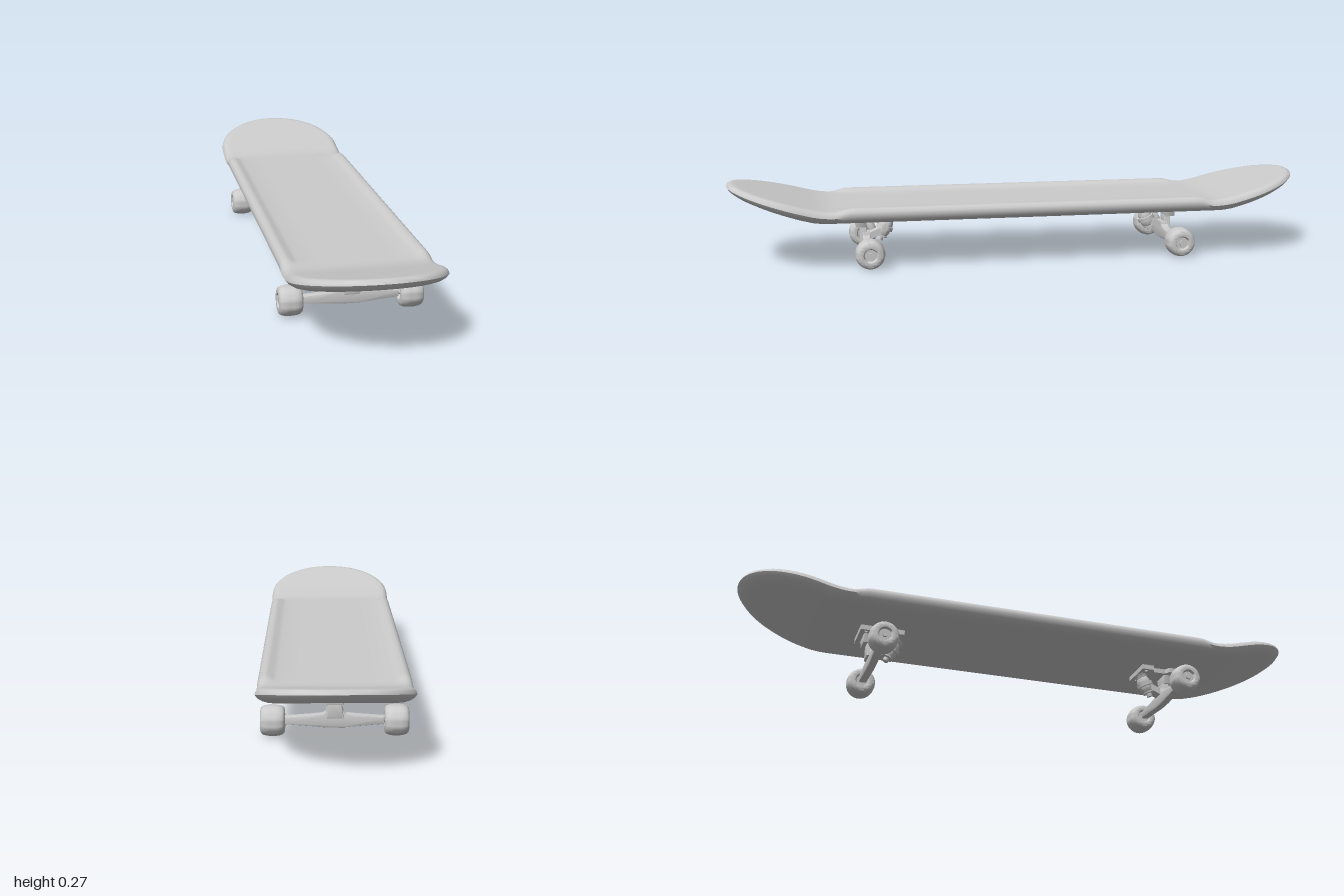
import * as THREE from 'three';
import { toCreasedNormals } from 'three/addons/utils/BufferGeometryUtils.js';

const material = new THREE.MeshStandardMaterial({ color: 0xcccccc, side: THREE.DoubleSide });

function part(name, geometry, parent, x = 0, y = 0, z = 0) {
  const mesh = new THREE.Mesh(geometry, material);
  mesh.name = name;
  mesh.position.set(x, y, z);
  parent.add(mesh);
  return mesh;
}

// Flat, then a straight slope, with a soft bend of half-length b between them
function bend(z, start, slope, b) {
  const d = z - start;
  if (d < -b) return 0;
  return slope * (d > b ? d : (d + b) ** 2 / (4 * b));
}

const topHeight = z => 0.197 + bend(z, 0.68, 0.255, 0.04);
const bottomHeight = z => 0.155 + bend(z, 0.71, 0.3, 0.04);
const rimHeight = z => 0.013 * (1 - THREE.MathUtils.smoothstep(z, 0.59, 0.65));

// Deck: sections lofted along z, each layer of the edge inset from a rounded outline
function deckGeometry() {
  // Right half of a section: fraction of width, inset, height fraction, share of raised rim
  const half = [
    [0, 0.055, 0, 0], [0.5, 0.055, 0, 0], [1, 0.055, 0, 0], [1, 0.038, 0.04, 0],
    [1, 0.022, 0.14, 0], [1, 0.008, 0.32, 0.5], [1, 0, 0.56, 1], [1, 0.003, 0.78, 1],
    [1, 0.011, 0.94, 1], [1, 0.022, 1, 1], [1, 0.034, 1, 0.8], [1, 0.046, 1, 0.25],
    [1, 0.06, 1, 0], [0.6, 0.06, 1, 0], [0.3, 0.06, 1, 0], [0, 0.06, 1, 0],
  ];
  const left = half.slice(1, -1).reverse().map(([f, ...rest]) => [-f, ...rest]);
  const section = [...half, ...left];

  // Stations: straight sides, then an angle round the elliptical end
  const ends = [0.3, 0.55, 0.58, 0.6, 0.62, 0.64, 0.66, 0.69, 0.72, 0.76].map(z => ({ z, angle: 0 }));
  for (let i = 1; i <= 16; i++) ends.push({ z: 0.76, angle: (i / 16) * Math.PI / 2 });
  const stations = [
    ...ends.map(s => ({ ...s, side: -1 })).reverse(),
    { z: 0, angle: 0, side: 1 },
    ...ends.map(s => ({ ...s, side: 1 })),
  ];

  const points = [], index = [], n = section.length;
  stations.forEach(({ z, angle, side }, i) => {
    section.forEach(([f, inset, v, rim], j) => {
      const az = z + (0.24 - inset) * Math.sin(angle);
      const x = f * (0.236 - inset) * Math.cos(angle);
      const low = bottomHeight(az), high = topHeight(az) + rim * rimHeight(az);
      points.push(x, low + v * (high - low), side * az);
      if (i === stations.length - 1) return;
      const a = i * n + j, b = i * n + (j + 1) % n;
      index.push(a, b, b + n, a, b + n, a + n);
    });
  });
  const g = new THREE.BufferGeometry();
  g.setAttribute('position', new THREE.Float32BufferAttribute(points, 3));
  g.setIndex(index);
  return toCreasedNormals(g, 0.9);
}

function lathe(profile, segments = 32) {
  const g = new THREE.LatheGeometry(profile.map(p => new THREE.Vector2(...p)), segments);
  return toCreasedNormals(g, 0.6);
}

// Mirrored outline in x and y, extruded and centred along z
function mirroredExtrude(right, depth, bevel) {
  const outline = [...right, ...right.map(([x, y]) => [-x, y]).reverse()];
  const shape = new THREE.Shape(outline.map(p => new THREE.Vector2(...p)));
  const g = new THREE.ExtrudeGeometry(shape, {
    depth: depth - 2 * bevel, bevelEnabled: bevel > 0, bevelSize: bevel,
    bevelThickness: bevel, bevelOffset: -bevel, bevelSegments: 2,
  });
  g.translate(0, 0, -depth / 2 + bevel);
  return toCreasedNormals(g, 0.5);
}

// Base plate with four bolt holes and open slots at both sides
function plateGeometry() {
  const s = new THREE.Shape([
    [-0.06, -0.075], [0.06, -0.075], [0.06, -0.03], [0.042, -0.022], [0.042, 0.022], [0.06, 0.03],
    [0.06, 0.075], [-0.06, 0.075], [-0.06, 0.03], [-0.042, 0.022], [-0.042, -0.022], [-0.06, -0.03],
  ].map(p => new THREE.Vector2(...p)));
  for (const x of [-1, 1]) for (const y of [-1, 1]) {
    s.holes.push(new THREE.Path().absarc(x * 0.045, y * 0.055, 0.006, 0, Math.PI * 2, true));
  }
  return new THREE.ExtrudeGeometry(s, { depth: 0.018, bevelEnabled: false, curveSegments: 8 })
    .rotateX(Math.PI / 2);
}

function createWheel() {
  const wheel = new THREE.Group();
  wheel.name = 'wheel';
  const profile = [
    [0.007, -0.028], [0.02, -0.028], [0.024, -0.037], [0.032, -0.0385], [0.04, -0.036], [0.045, -0.03],
    [0.048, -0.02], [0.0495, -0.008], [0.0495, 0.008], [0.048, 0.02], [0.045, 0.03], [0.04, 0.036],
    [0.032, 0.0385], [0.024, 0.037], [0.02, 0.028], [0.007, 0.028],
  ];
  part('tyre', lathe(profile, 40), wheel).rotation.z = -Math.PI / 2;
  part('axleNut', new THREE.CylinderGeometry(0.011, 0.011, 0.008, 6), wheel, 0.031).rotation.z = Math.PI / 2;
  return wheel;
}

// Truck: axle at the local origin in z, outer end of the board towards +z
function createTruck() {
  const truck = new THREE.Group();
  truck.name = 'truck';
  part('basePlate', plateGeometry(), truck, 0, 0.156, -0.022);

  // Pivot cup under the plate and the nose of the hanger that enters it
  const cup = mirroredExtrude([[0.027, 0.108], [0.034, 0.142]], 0.036, 0.003);
  part('pivotCup', cup, truck, 0, 0, 0.018);
  const nose = mirroredExtrude([[0.028, 0.06], [0.021, 0.112]], 0.024, 0.004);
  part('pivotNose', nose, truck, 0, 0, 0.01);

  // Tapered hanger around the axle
  const hanger = mirroredExtrude([
    [0.03, 0.028], [0.07, 0.032], [0.155, 0.039], [0.155, 0.063], [0.07, 0.069], [0.036, 0.073], [0.028, 0.08], [0.025, 0.09],
  ], 0.028, 0.005);
  part('hanger', hanger, truck);
  const yoke = new THREE.BoxGeometry(0.04, 0.022, 0.05);
  part('yoke', yoke, truck, 0, 0.083, -0.03).rotation.x = 0.4;
  const axle = new THREE.CylinderGeometry(0.007, 0.007, 0.456, 16).rotateZ(Math.PI / 2);
  part('axle', axle, truck, 0, 0.05);

  // Tilted kingpin with two bushings, washers and a nut
  const kingpin = lathe([
    [0, -0.048], [0.01, -0.048], [0.01, -0.036], [0.02, -0.035], [0.02, -0.031], [0.018, -0.03],
    [0.023, -0.018], [0.023, -0.01], [0.029, -0.009], [0.029, 0.005], [0.024, 0.006], [0.024, 0.014],
    [0.019, 0.026], [0.022, 0.027], [0.022, 0.031], [0.026, 0.04], [0, 0.04],
  ], 24);
  part('kingpin', kingpin, truck, 0, 0.103, -0.065).rotation.x = -0.4;

  for (const side of [-1, 1]) {
    const wheel = createWheel();
    wheel.position.set(side * 0.193, 0.05, 0);
    if (side < 0) wheel.rotation.y = Math.PI;
    truck.add(wheel);
  }
  return truck;
}

export function createModel() {
  const board = new THREE.Group();
  board.name = 'skateboard';
  part('deck', deckGeometry(), board);
  for (const end of [1, -1]) {
    const truck = createTruck();
    truck.name = end > 0 ? 'frontTruck' : 'rearTruck';
    truck.position.z = end * 0.535;
    if (end < 0) truck.rotation.y = Math.PI;
    board.add(truck);
  }
  return board;
}
